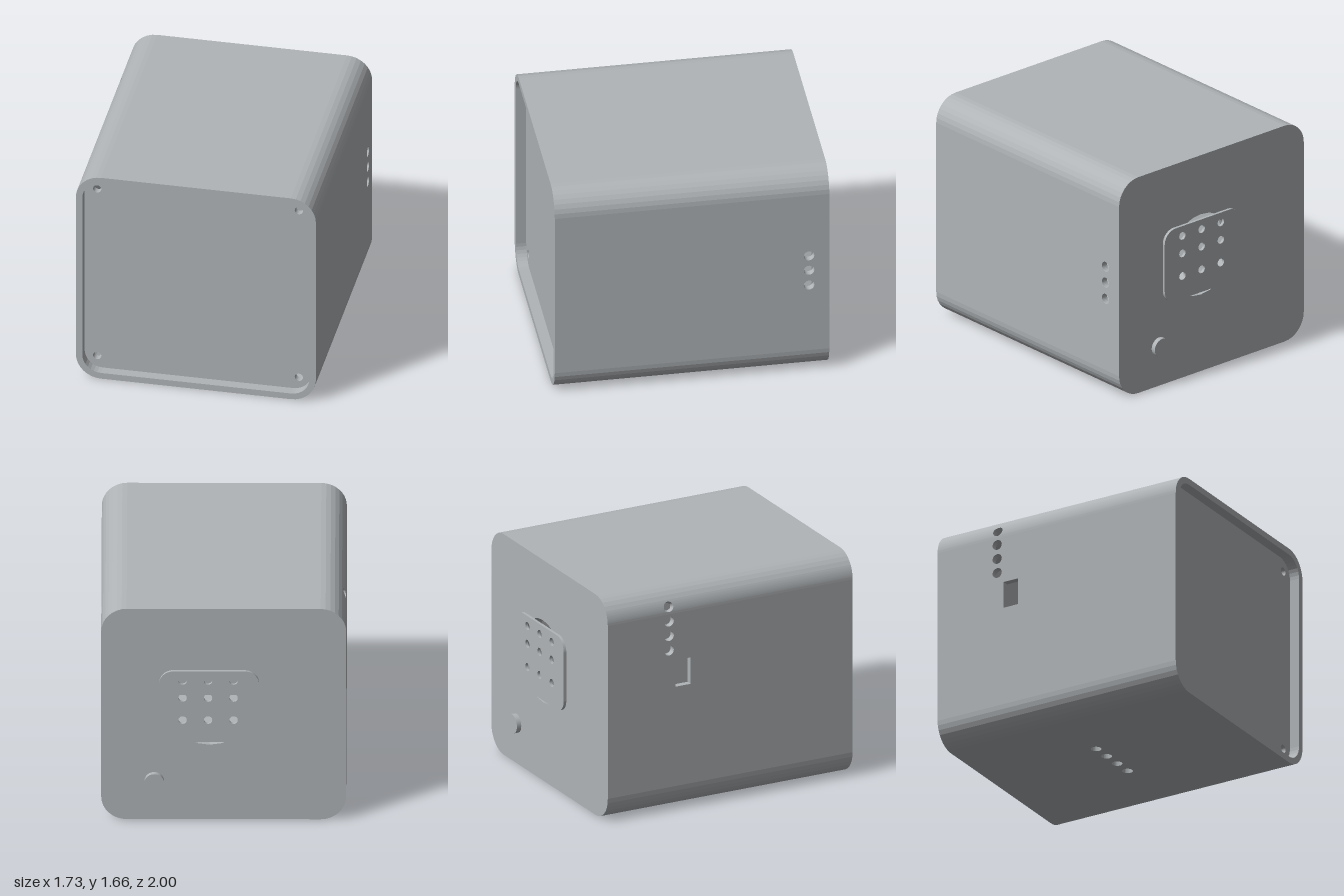
import * as THREE from 'three';

const HALF_W = 0.865, HEIGHT = 1.665, BACK = -0.965, FRONT = 1;
const R = 0.18, WALL = 0.047, MID = HEIGHT / 2;
const FLAT_W = 2 * (HALF_W - R), FLAT_H = HEIGHT - 2 * R, ARC = R * Math.PI / 2;

// Rounded rectangle, optionally with round holes [x, y, radius]
function roundedRect(cx, cy, w, h, r, holes = []) {
  const s = new THREE.Shape(), x = w / 2 - r, y = h / 2 - r;
  s.absarc(cx + x, cy + y, r, 0, Math.PI / 2);
  s.absarc(cx - x, cy + y, r, Math.PI / 2, Math.PI);
  s.absarc(cx - x, cy - y, r, Math.PI, Math.PI * 1.5);
  s.absarc(cx + x, cy - y, r, Math.PI * 1.5, Math.PI * 2);
  s.closePath();
  for (const [hx, hy, hr] of holes) s.holes.push(new THREE.Path().absarc(hx, hy, hr, 0, Math.PI * 2, true));
  return s;
}

function slab(shape, z0, z1) {
  const g = new THREE.ExtrudeGeometry(shape, { depth: z1 - z0, bevelEnabled: false, curveSegments: 12 });
  return g.translate(0, 0, z0);
}

// Point on the case outline at distance s (from bottom left, anticlockwise), moved inward by d
function outline(s, d) {
  const sides = [FLAT_W, FLAT_H, FLAT_W, FLAT_H];
  const cx = [HALF_W - R, HALF_W - R, R - HALF_W, R - HALF_W];
  const cy = [R, HEIGHT - R, HEIGHT - R, R];
  for (let i = 0; i < 4; i++) {
    const a = (i - 1) * Math.PI / 2;
    if (s <= sides[i] + 1e-9) {
      const back = sides[i] - s;
      return [cx[i] + Math.cos(a) * (R - d) + Math.sin(a) * back, cy[i] + Math.sin(a) * (R - d) - Math.cos(a) * back];
    }
    s -= sides[i];
    if (s <= ARC + 1e-9) {
      const b = a + s / R;
      return [cx[i] + Math.cos(b) * (R - d), cy[i] + Math.sin(b) * (R - d)];
    }
    s -= ARC;
  }
  return outline(0, d);
}

// Tubular wall with openings: each outline strip is split in z around its opening
function caseWall() {
  const openings = [];
  const onRight = y => FLAT_W + ARC + y - R;
  const onLeft = y => 2 * FLAT_W + FLAT_H + 3 * ARC + HEIGHT - R - y;
  for (const y of [0.73, 0.855, 0.977]) openings.push({ s: onRight(y), z: -0.82, r: 0.038 });
  for (let i = 0; i < 4; i++) {
    openings.push({ s: onLeft(1.54 - i * 0.109), z: -0.473, r: 0.038 });
    openings.push({ s: FLAT_W / 2 + (i - 1.5) * 0.143, z: -0.05, r: 0.038 });
  }
  openings.push({ s: onLeft(1.03), z: -0.36, r: 0.1, half: 0.06 });

  const cuts = [];
  let start = 0;
  for (const side of [FLAT_W, FLAT_H, FLAT_W, FLAT_H]) {
    cuts.push(start);
    for (let k = 0; k <= 8; k++) cuts.push(start + side + ARC * k / 8);
    start += side + ARC;
  }
  for (const o of openings) {
    const n = o.half ? 1 : 12;
    for (let k = 0; k <= n; k++) cuts.push(o.s - o.r * Math.cos(Math.PI * k / n));
  }
  cuts.sort((a, b) => a - b);

  const pos = [];
  const quad = (a, b, c, d) => pos.push(...a, ...b, ...c, ...a, ...c, ...d);
  const out = (s, z) => [...outline(s, 0), z];
  const inn = (s, z) => [...outline(s, WALL), z];
  // Ring faces across the wall thickness
  const facingFront = (s, t, zs, zt) => quad(out(s, zs), out(t, zt), inn(t, zt), inn(s, zs));
  const facingBack = (s, t, zs, zt) => quad(out(s, zs), inn(s, zs), inn(t, zt), out(t, zt));

  for (let i = 0; i + 1 < cuts.length; i++) {
    const s = cuts[i], t = cuts[i + 1], m = (s + t) / 2;
    if (t - s < 1e-7) continue;
    const skin = (as, at, bs, bt) => {
      quad(out(s, as), out(t, at), out(t, bt), out(s, bs));
      quad(inn(s, as), inn(s, bs), inn(t, bt), inn(t, at));
    };
    facingFront(s, t, FRONT, FRONT);
    facingBack(s, t, BACK, BACK);
    const o = openings.find(p => Math.abs(m - p.s) < p.r);
    if (!o) { skin(BACK, BACK, FRONT, FRONT); continue; }
    const gap = v => o.half || Math.sqrt(Math.max(0, o.r ** 2 - (v - o.s) ** 2));
    const hs = gap(s), ht = gap(t);
    skin(BACK, BACK, o.z - hs, o.z - ht);
    skin(o.z + hs, o.z + ht, FRONT, FRONT);
    facingFront(s, t, o.z - hs, o.z - ht);
    facingBack(s, t, o.z + hs, o.z + ht);
  }
  // Ends of the rectangular slot
  const o = openings.find(p => p.half), z0 = o.z - o.half, z1 = o.z + o.half;
  const a = o.s - o.r, b = o.s + o.r;
  quad(out(a, z0), inn(a, z0), inn(a, z1), out(a, z1));
  quad(out(b, z0), out(b, z1), inn(b, z1), inn(b, z0));

  const g = new THREE.BufferGeometry();
  g.setAttribute('position', new THREE.Float32BufferAttribute(pos, 3));
  g.computeVertexNormals();
  return g;
}

export function createModel() {
  const group = new THREE.Group();
  const grey = new THREE.MeshStandardMaterial({ color: 0xb0b4b7 });
  grey.name = 'light grey';
  const add = (name, geometry) => {
    const mesh = new THREE.Mesh(geometry, grey);
    mesh.name = name;
    group.add(mesh);
    return mesh;
  };
  const innerW = 2 * (HALF_W - WALL), innerH = HEIGHT - 2 * WALL, innerR = R - WALL;

  add('caseWall', caseWall());

  // Back wall with a large round opening behind the perforated plate
  add('backWall', slab(roundedRect(0, MID, innerW, innerH, innerR, [[0.1, 0.9, 0.31]]), BACK, -0.845));

  // Recessed front panel with four screw holes
  const screws = [];
  for (const x of [-0.727, 0.727]) for (const y of [0.142, 1.523]) screws.push([x, y, 0.03]);
  add('frontPanel', slab(roundedRect(0, MID, innerW, innerH, innerR, screws), 0.875, 0.925));

  // Perforated plate on the back
  const vents = [];
  for (const x of [-0.07, 0.11, 0.29]) for (const y of [0.795, 0.97, 1.105]) vents.push([x, y, 0.03]);
  add('backPlate', slab(roundedRect(0.103, 0.9, 0.705, 0.56, 0.1, vents), BACK - 0.021, BACK));

  // Round button on the back
  const button = add('backButton', new THREE.CylinderGeometry(0.07, 0.07, 0.04, 24).rotateX(Math.PI / 2));
  button.position.set(0.49, 0.303, -0.98);

  return group;
}
